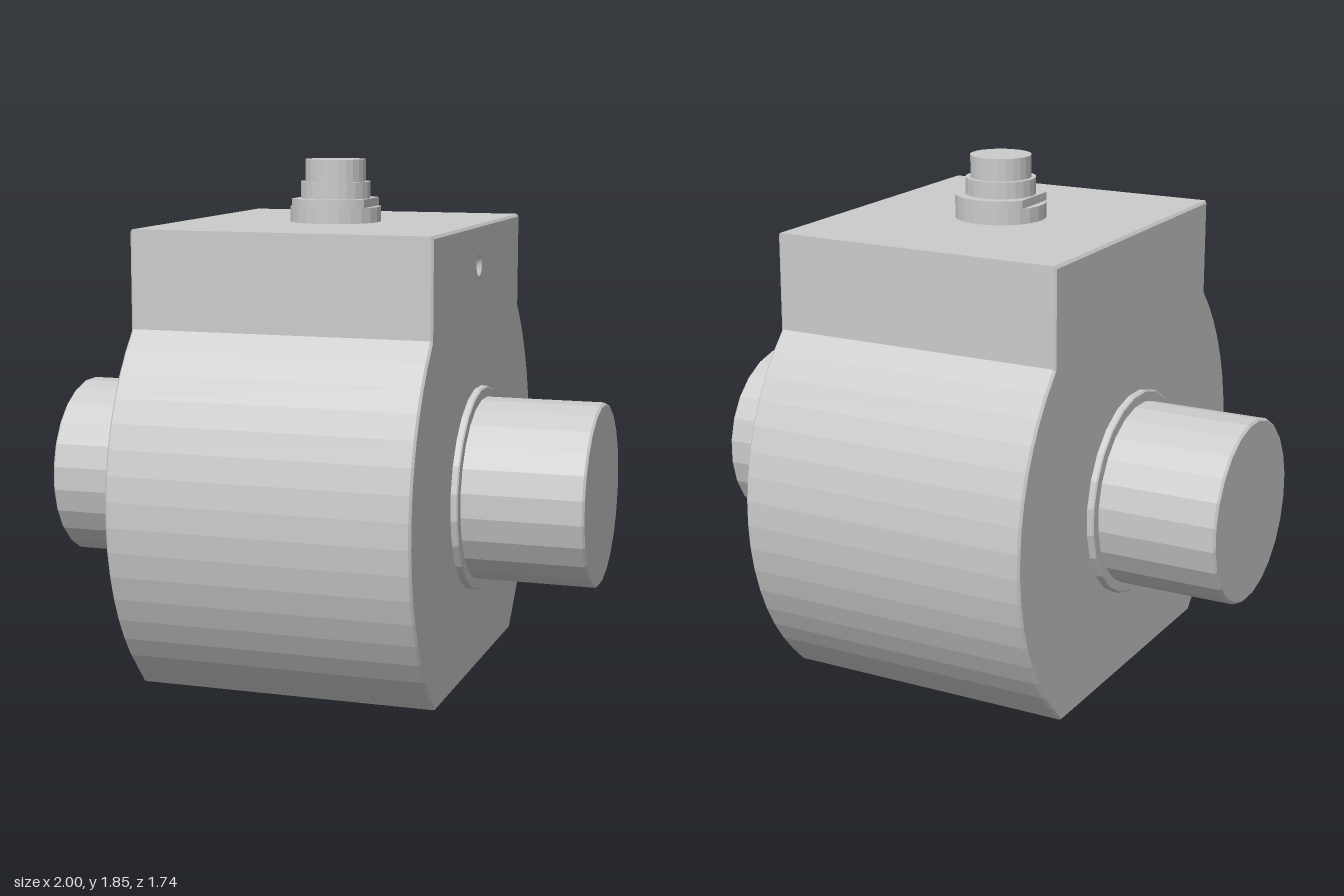
import * as THREE from 'three';

const material = new THREE.MeshStandardMaterial({ color: 0xcccccc, flatShading: true });
const recessMaterial = new THREE.MeshStandardMaterial({ color: 0xcccccc, flatShading: true, side: THREE.DoubleSide });

const AXIS_Y = 0.67, RADIUS = 0.87, HALF_X = 0.54, CHAMFER = 0.008, BASE_Z = 0.56, TOP_Y = 1.625, HEAD_Z = 0.62;
const SIDES = 24;

function add(parent, name, geometry, mat = material) {
  const mesh = new THREE.Mesh(geometry, mat);
  mesh.name = name;
  parent.add(mesh);
  return mesh;
}

// Turned part, profile given as [radius, height] from bottom to top
function turned(points) {
  const profile = points.map(([r, h]) => new THREE.Vector2(r, h));
  return new THREE.LatheGeometry(profile, SIDES, Math.PI / SIDES).toNonIndexed();
}

function circleHole(shape, x, y, r) {
  shape.holes.push(new THREE.Path().absarc(x, y, r, 0, Math.PI * 2, true));
}

// Outline in (z, y): front base edge, up the round front, over the head and down the back
function housingOutline() {
  const front = [];
  const start = -Math.acos(BASE_Z / RADIUS), end = Math.acos(HEAD_Z / RADIUS), steps = 16;
  for (let i = 0; i <= steps; i++) {
    const a = start + (end - start) * i / steps;
    front.push([RADIUS * Math.cos(a), i === 0 ? 0 : AXIS_Y + RADIUS * Math.sin(a)]);
  }
  front.push([HEAD_Z, TOP_Y]);
  return [...front, ...front.map(([z, y]) => [-z, y]).reverse()];
}

function buildHousing(group) {
  const outline = housingOutline();
  const inset = outline.map(([z, y]) => [z * 0.99, y === 0 ? 0 : AXIS_Y + (y - AXIS_Y) * 0.99]);

  // Wall through four rings, with a small chamfer at both ends
  const rings = [[-HALF_X, inset], [-HALF_X + CHAMFER, outline], [HALF_X - CHAMFER, outline], [HALF_X, inset]];
  const positions = [];
  for (let k = 0; k < 3; k++) {
    for (let i = 0; i < outline.length - 1; i++) {
      const corner = (ring, j) => [rings[ring][0], rings[ring][1][j][1], rings[ring][1][j][0]];
      const a = corner(k, i), b = corner(k + 1, i), c = corner(k + 1, i + 1), d = corner(k, i + 1);
      positions.push(...a, ...b, ...c, ...a, ...c, ...d);
    }
  }
  const wall = new THREE.BufferGeometry();
  wall.setAttribute('position', new THREE.Float32BufferAttribute(positions, 3));
  wall.computeVertexNormals();
  add(group, 'housingWall', wall);

  // End faces, the right one with a drilled dimple
  for (const side of [1, -1]) {
    const shape = new THREE.Shape(inset.map(([z, y]) => new THREE.Vector2(z, y)));
    if (side === 1) circleHole(shape, 0, 1.48, 0.04);
    const face = new THREE.ShapeGeometry(shape).rotateY(side * Math.PI / 2).translate(side * HALF_X, 0, 0);
    add(group, side === 1 ? 'rightFace' : 'leftFace', face);
  }
  const dimple = new THREE.ConeGeometry(0.04, 0.04, SIDES, 1, true).rotateZ(Math.PI / 2);
  dimple.translate(HALF_X - 0.02, 1.48, 0);
  add(group, 'dimple', dimple, recessMaterial);

  // Base plate with four mounting holes
  const x1 = HALF_X, x0 = HALF_X - CHAMFER, z0 = inset[0][0], z1 = outline[0][0];
  const base = new THREE.Shape([[x1, -z0], [x1, z0], [x0, z1], [-x0, z1], [-x1, z0], [-x1, -z0], [-x0, -z1], [x0, -z1]]
    .map(([x, z]) => new THREE.Vector2(x, z)));
  for (const sx of [1, -1]) {
    for (const sz of [1, -1]) {
      circleHole(base, sx * 0.425, sz * 0.47, 0.02);
      const hole = add(group, 'mountingHole', new THREE.CylinderGeometry(0.02, 0.02, 0.1, 16, 1, true), recessMaterial);
      hole.position.set(sx * 0.425, 0.05, sz * 0.47);
      const end = add(group, 'mountingHoleEnd', new THREE.CircleGeometry(0.02, 16).rotateX(Math.PI / 2));
      end.position.set(sx * 0.425, 0.1, sz * 0.47);
    }
  }
  add(group, 'basePlate', new THREE.ShapeGeometry(base).rotateX(Math.PI / 2));
}

function buildConnector(group) {
  // Collar with two wrench flats on its upper part
  add(group, 'connectorCollar', turned([[0.165, 1.62], [0.165, 1.68], [0, 1.68]]));
  const r = 0.165, a = Math.acos(0.137 / r);
  const flats = new THREE.Shape();
  flats.absarc(0, 0, r, a, Math.PI - a, false);
  flats.absarc(0, 0, r, Math.PI + a, Math.PI * 2 - a, false);
  const ring = new THREE.ExtrudeGeometry(flats, { depth: 0.035, bevelEnabled: false, curveSegments: 8 });
  add(group, 'wrenchFlats', ring.rotateX(-Math.PI / 2).translate(0, 1.675, 0));
  // Stepped plug
  add(group, 'connectorPlug', turned([[0.127, 1.7], [0.127, 1.77], [0.11, 1.77], [0.11, 1.85], [0, 1.85]]));
}

export function createModel() {
  const model = new THREE.Group();
  model.name = 'shaftSensor';

  const housing = new THREE.Group();
  housing.name = 'housing';
  buildHousing(housing);
  model.add(housing);

  // Shaft end and shoulder on each side
  for (const side of [1, -1]) {
    const place = (g) => g.rotateZ(-side * Math.PI / 2).translate(0, AXIS_Y, 0);
    const prefix = side === 1 ? 'right' : 'left';
    add(model, prefix + 'Shoulder', place(turned([[0.372, 0.53], [0.372, 0.56], [0.367, 0.565], [0, 0.565]])));
    add(model, prefix + 'Shaft', place(turned([[0.332, 0.55], [0.332, 0.992], [0.324, 1], [0, 1]])));
  }

  const connector = new THREE.Group();
  connector.name = 'connector';
  buildConnector(connector);
  model.add(connector);
  return model;
}
